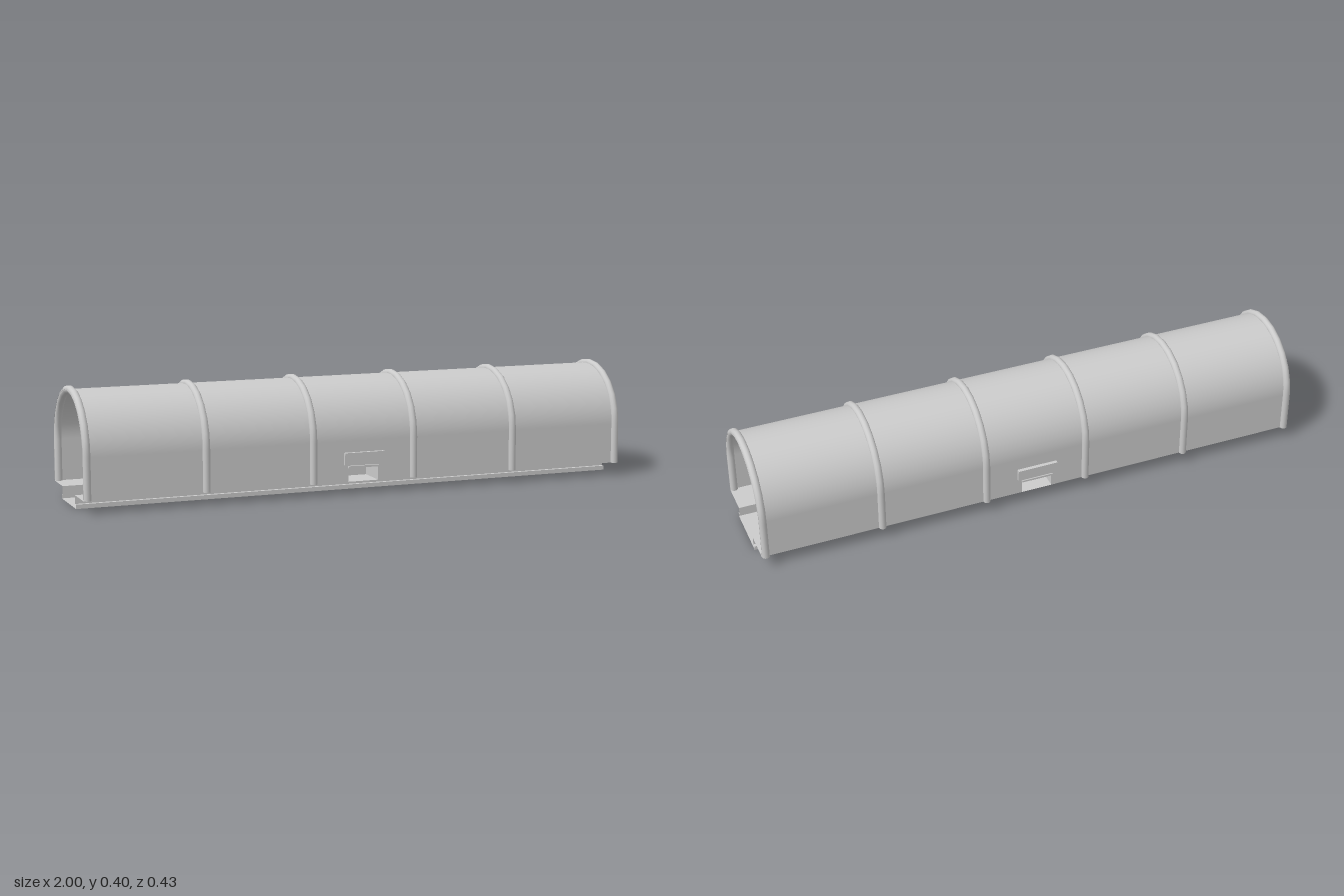
import * as THREE from 'three';

const LEN = 2, R = 0.2, BASE = 0.045, SPRING = 0.19;
const DOOR = { x: -0.004, half: 0.056, top: 0.096 };

export function createModel() {
  const root = new THREE.Group();
  const solid = new THREE.MeshStandardMaterial({ color: 0xcccccc });
  const sheet = new THREE.MeshStandardMaterial({ color: 0xcccccc, side: THREE.DoubleSide });

  const add = (name, geo, mat = solid, parent = root) => {
    const m = new THREE.Mesh(geo, mat);
    m.name = name;
    parent.add(m);
    return m;
  };
  // Box given by its min and max corners
  const box = (name, x0, x1, y0, y1, z0, z1, parent = root) => {
    const m = add(name, new THREE.BoxGeometry(x1 - x0, y1 - y0, z1 - z0), solid, parent);
    m.position.set((x0 + x1) / 2, (y0 + y1) / 2, (z0 + z1) / 2);
    return m;
  };

  // Vaulted roof shell
  const vault = new THREE.CylinderGeometry(R, R, LEN, 24, 1, true, 0, Math.PI).rotateZ(Math.PI / 2);
  add('vault', vault, sheet).position.y = SPRING;

  // Side walls with a doorway notch in the lower edge
  const dl = DOOR.x - DOOR.half, dr = DOOR.x + DOOR.half;
  const wall = new THREE.Shape([
    [-1, BASE], [dl, BASE], [dl, DOOR.top], [dr, DOOR.top], [dr, BASE], [1, BASE], [1, SPRING], [-1, SPRING],
  ].map(([x, y]) => new THREE.Vector2(x, y)));
  for (const s of [1, -1]) {
    const geo = new THREE.ShapeGeometry(wall);
    if (s < 0) geo.rotateY(Math.PI).translate(2 * DOOR.x, 0, 0);
    // keep the far wall's ends flush after turning it round
    const p = geo.attributes.position;
    for (let i = 0; i < p.count; i++) if (Math.abs(p.getX(i)) > 0.9) p.setX(i, Math.sign(p.getX(i)));
    add(s > 0 ? 'frontWall' : 'backWall', geo, sheet).position.z = s * R;
  }

  // Hoop ribs: half torus on two straight posts
  for (const x of [-0.986, -0.574, -0.189, 0.185, 0.57, 0.986]) {
    const rib = new THREE.Group();
    rib.name = 'rib';
    rib.position.x = x;
    root.add(rib);
    const arch = new THREE.TorusGeometry(R, 0.0133, 12, 12, Math.PI).rotateY(Math.PI / 2);
    add('ribArch', arch, solid, rib).position.y = SPRING;
    for (const s of [1, -1]) {
      const post = add('ribPost', new THREE.CylinderGeometry(0.0133, 0.0133, SPRING - BASE, 12), solid, rib);
      post.position.set(0, (SPRING + BASE) / 2, s * R);
    }
  }

  // Floor sheet: side ledges and a sunken track channel with a wider foot
  const half = [[R, BASE], [0.087, BASE], [0.087, 0.015], [0.1, 0.015], [0.1, 0]];
  const profile = [...half, ...half.slice().reverse().map(([z, y]) => [-z, y])];
  const floor = new THREE.Group();
  floor.name = 'floor';
  root.add(floor);
  for (let i = 0; i < profile.length - 1; i++) {
    const [z0, y0] = profile[i], [z1, y1] = profile[i + 1];
    const strip = new THREE.PlaneGeometry(LEN, Math.hypot(z1 - z0, y1 - y0)).rotateX(-Math.PI / 2);
    const m = add('floorStrip', strip, sheet, floor);
    m.position.set(0, (y0 + y1) / 2, (z0 + z1) / 2);
    m.rotation.x = Math.atan2(y1 - y0, -(z1 - z0));
  }

  // Cross bridge between the doorways, cut out over the channel
  const bridge = new THREE.Group();
  bridge.name = 'crossBridge';
  root.add(bridge);
  box('bridgeDeck', dl - 0.006, dr + 0.006, 0.117, 0.141, -0.198, 0.198, bridge);
  for (const s of [1, -1]) {
    const zc = s * 0.1425;
    for (const x of [dl - 0.006, dr]) {
      box('bridgeSide', x, x + 0.006, BASE, 0.117, zc - 0.0555, zc + 0.0555, bridge);
    }
    box('bridgeRail', dl, dr, 0.141, 0.152, s * 0.093 - 0.002, s * 0.093 + 0.002, bridge);
  }

  // Door surrounds: hood panel and a slim lintel below it
  for (const s of [1, -1]) {
    const hood = new THREE.Group();
    hood.name = 'doorHood';
    root.add(hood);
    const out = (name, w, y0, y1, d) =>
      box(name, DOOR.x - w, DOOR.x + w, y0, y1, Math.min(s * 0.195, s * d), Math.max(s * 0.195, s * d), hood);
    out('hoodPanel', 0.073, 0.105, 0.14, 0.21);
    out('hoodCap', 0.073, 0.14, 0.148, 0.213);
    out('lintel', 0.058, 0.094, 0.101, 0.209);
  }
  return root;
}
